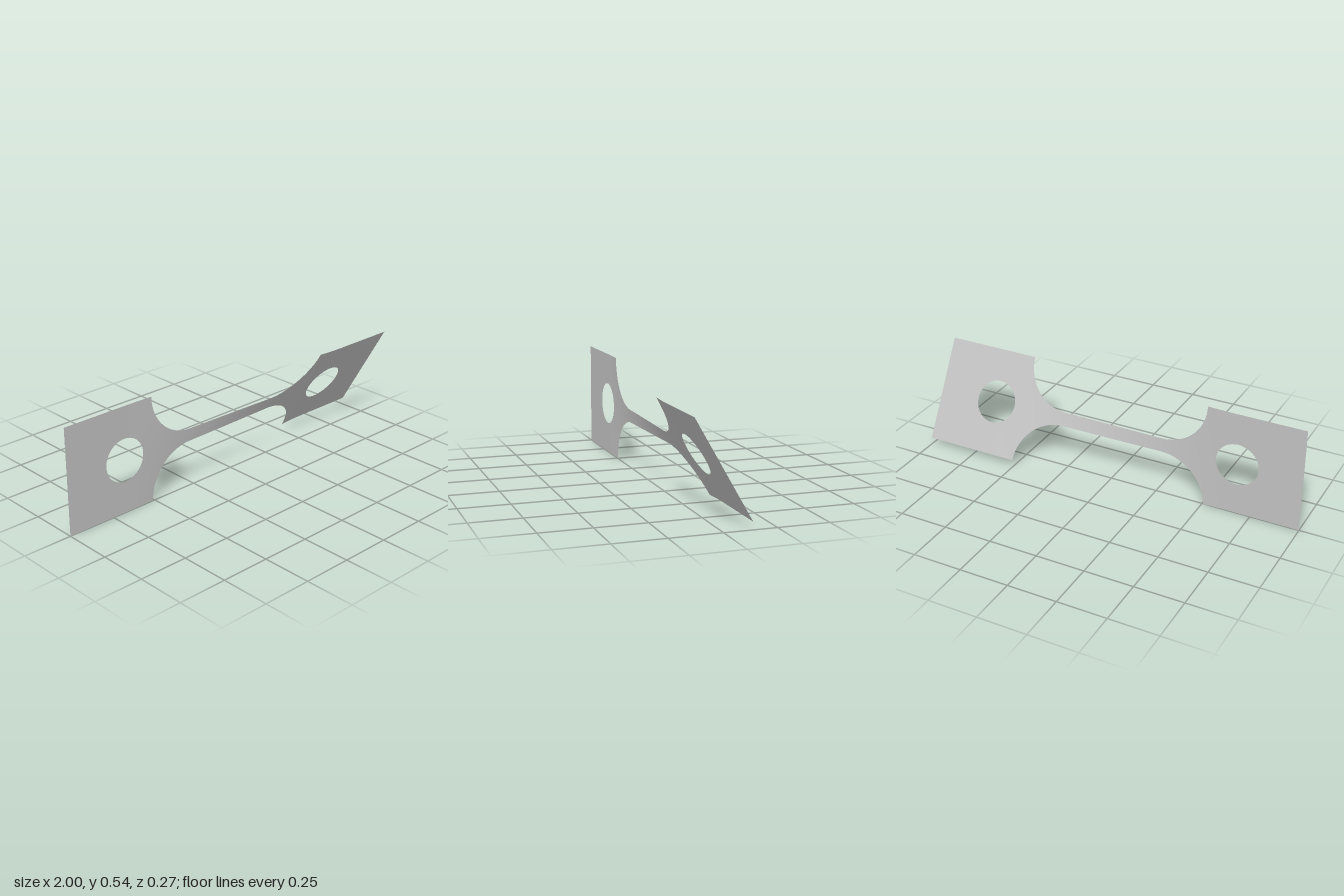
import * as THREE from 'three';
import { mergeGeometries } from 'three/addons/utils/BufferGeometryUtils.js';

const HALF = 0.271;      // half height of the end plates, also the height of the twist axis
const NECK = 0.035;      // half height of the neck
const NECK_END = 0.27;   // where the fillets meet the neck
const FILLET = HALF - NECK;
const HOLE_X = 0.67, HOLE_R = 0.109;
const TWIST = Math.PI / 6;

// Twist eases in along the middle of the strip
const twistAt = x => TWIST * THREE.MathUtils.smoothstep(x, -0.65, 0.65);

// Sheet patch: xAt(u) gives the column, lo(x) and hi(x) its lower and upper edge
function patch(columns, rows, xAt, lo, hi) {
  const geo = new THREE.PlaneGeometry(1, 1, columns, rows);
  const p = geo.attributes.position;
  for (let i = 0; i < p.count; i++) {
    const x = xAt(p.getX(i) + 0.5);
    const h = THREE.MathUtils.lerp(lo(x), hi(x), p.getY(i) + 0.5);
    const a = twistAt(x);
    p.setXYZ(i, x, HALF + h * Math.cos(a), h * Math.sin(a));
  }
  geo.computeVertexNormals();
  return geo;
}

const span = (a, b) => u => a + (b - a) * u;
const symmetric = (columns, xAt, hi) => patch(columns, 8, xAt, x => -hi(x), hi);

// Square end with a round hole; side is +1 or -1
function endPlate(side) {
  const c = side * HOLE_X, edge = NECK_END + FILLET;
  const ends = side > 0 ? [edge, 1] : [-1, -edge];
  const full = () => HALF;
  const arc = x => Math.sqrt(Math.max(0, HOLE_R ** 2 - (x - c) ** 2));
  const across = u => c - HOLE_R * Math.cos(Math.PI * u);
  return mergeGeometries([
    symmetric(6, span(ends[0], c - HOLE_R), full),
    patch(32, 4, across, arc, full),
    patch(32, 4, across, () => -HALF, x => -arc(x)),
    symmetric(6, span(c + HOLE_R, ends[1]), full),
  ]);
}

// Concave quarter-circle flare between neck and plate
function flare(side) {
  const xAt = u => side > 0
    ? NECK_END + FILLET * Math.sin(u * Math.PI / 2)
    : -NECK_END - FILLET * Math.cos(u * Math.PI / 2);
  const edge = x => HALF - Math.sqrt(Math.max(0, FILLET ** 2 - (Math.abs(x) - NECK_END) ** 2));
  return symmetric(28, xAt, edge);
}

export function createModel() {
  const group = new THREE.Group();
  group.name = 'twistedStrip';
  const grey = new THREE.MeshStandardMaterial({ color: 0xc0c0c0, side: THREE.DoubleSide });
  grey.name = 'plain grey';

  const add = (name, geo) => {
    const mesh = new THREE.Mesh(geo, grey);
    mesh.name = name;
    group.add(mesh);
  };

  for (const [label, side] of [['left', 1], ['right', -1]]) {
    add(label + 'EndPlate', endPlate(side));
    add(label + 'Flare', flare(side));
  }
  add('neck', symmetric(40, span(-NECK_END, NECK_END), () => NECK));
  return group;
}
